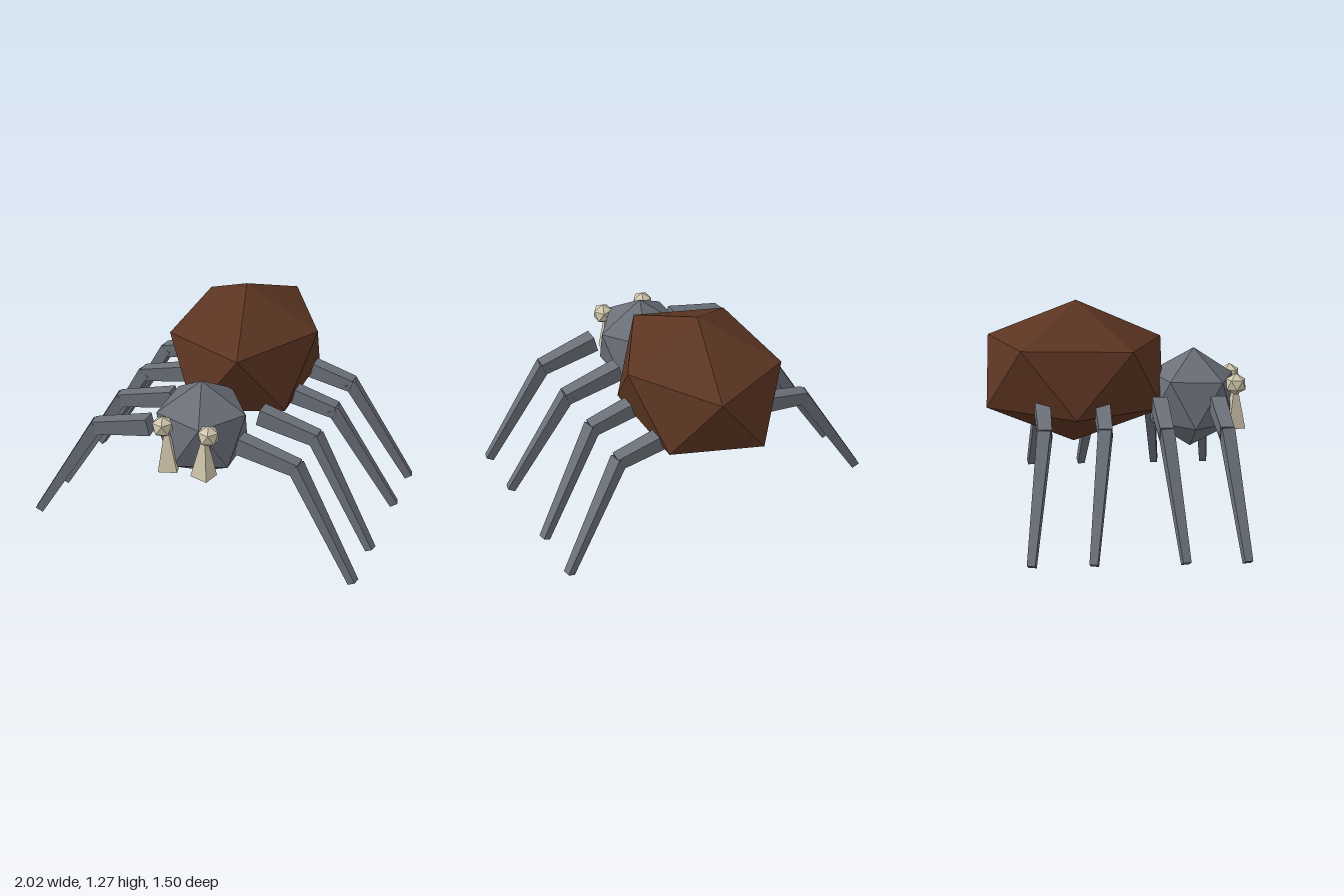
import * as THREE from 'three';

const grey = new THREE.MeshStandardMaterial({ color: 0x6b7079 });
grey.name = 'slate grey';
const brown = new THREE.MeshStandardMaterial({ color: 0x5c3522 });
brown.name = 'dark brown';
const cream = new THREE.MeshStandardMaterial({ color: 0xd2c8ae });
cream.name = 'bone cream';

// Faceted ball: an icosahedron standing on one corner, stretched to the given radii
function facetedBall(name, material, radii, position, tilt = 0) {
  const geometry = new THREE.IcosahedronGeometry(1, 0);
  geometry.rotateX(-Math.atan2((1 + Math.sqrt(5)) / 2, 1));
  geometry.rotateY(Math.PI / 2);
  const mesh = new THREE.Mesh(geometry, material);
  mesh.name = name;
  mesh.scale.set(...radii);
  mesh.position.set(...position);
  mesh.rotation.x = tilt;
  return mesh;
}

// Tapered bar from a to b; each end is [width, height]
function taperedBar(name, material, a, b, startSize, endSize) {
  const from = new THREE.Vector3(...a);
  const to = new THREE.Vector3(...b);
  const geometry = new THREE.BoxGeometry(1, 1, from.distanceTo(to));
  const p = geometry.attributes.position;
  for (let i = 0; i < p.count; i++) {
    const [w, h] = p.getZ(i) > 0 ? endSize : startSize;
    p.setXY(i, p.getX(i) * w, p.getY(i) * h);
  }
  geometry.computeVertexNormals();
  const mesh = new THREE.Mesh(geometry, material);
  mesh.name = name;
  mesh.position.copy(from).lerp(to, 0.5);
  mesh.lookAt(to);
  return mesh;
}

export function createModel() {
  const model = new THREE.Group();
  model.name = 'spider';
  const body = new THREE.Group();
  body.name = 'body';
  body.rotation.y = 0.026;
  model.add(body);

  // Abdomen and head
  body.add(facetedBall('abdomen', brown, [0.49, 0.42, 0.597], [0, 0.85, -0.24], 0.02));
  body.add(facetedBall('head', grey, [0.29, 0.297, 0.288], [0, 0.685, 0.447], 0.025));

  // z of hip, knee and foot for each pair of legs, front to back
  const legRows = [
    [0.565, 0.572, 0.645],
    [0.233, 0.24, 0.315],
    [-0.097, -0.093, -0.175],
    [-0.433, -0.423, -0.505],
  ];

  for (const side of [1, -1]) {
    const label = side > 0 ? 'left' : 'right';

    // Eye and fang
    body.add(facetedBall(label + 'Eye', cream, [0.064, 0.064, 0.064], [side * 0.135, 0.79, 0.687]));
    body.add(taperedBar(label + 'Fang', cream,
      [side * 0.112, 0.76, 0.687], [side * 0.104, 0.528, 0.685], [0.024, 0.024], [0.1, 0.108]));

    // Legs: a thick upper segment and a long tapering shin
    legRows.forEach(([hip, knee, foot], i) => {
      const leg = new THREE.Group();
      leg.name = label + 'Leg' + (i + 1);
      leg.add(taperedBar('upperLeg', grey,
        [side * 0.266, 0.705, hip], [side * 0.61, 0.627, knee], [0.088, 0.102], [0.075, 0.078]));
      leg.add(taperedBar('lowerLeg', grey,
        [side * 0.594, 0.643, knee], [side * 0.972, 0.013, foot], [0.074, 0.072], [0.045, 0.048]));
      body.add(leg);
    });
  }
  return model;
}
